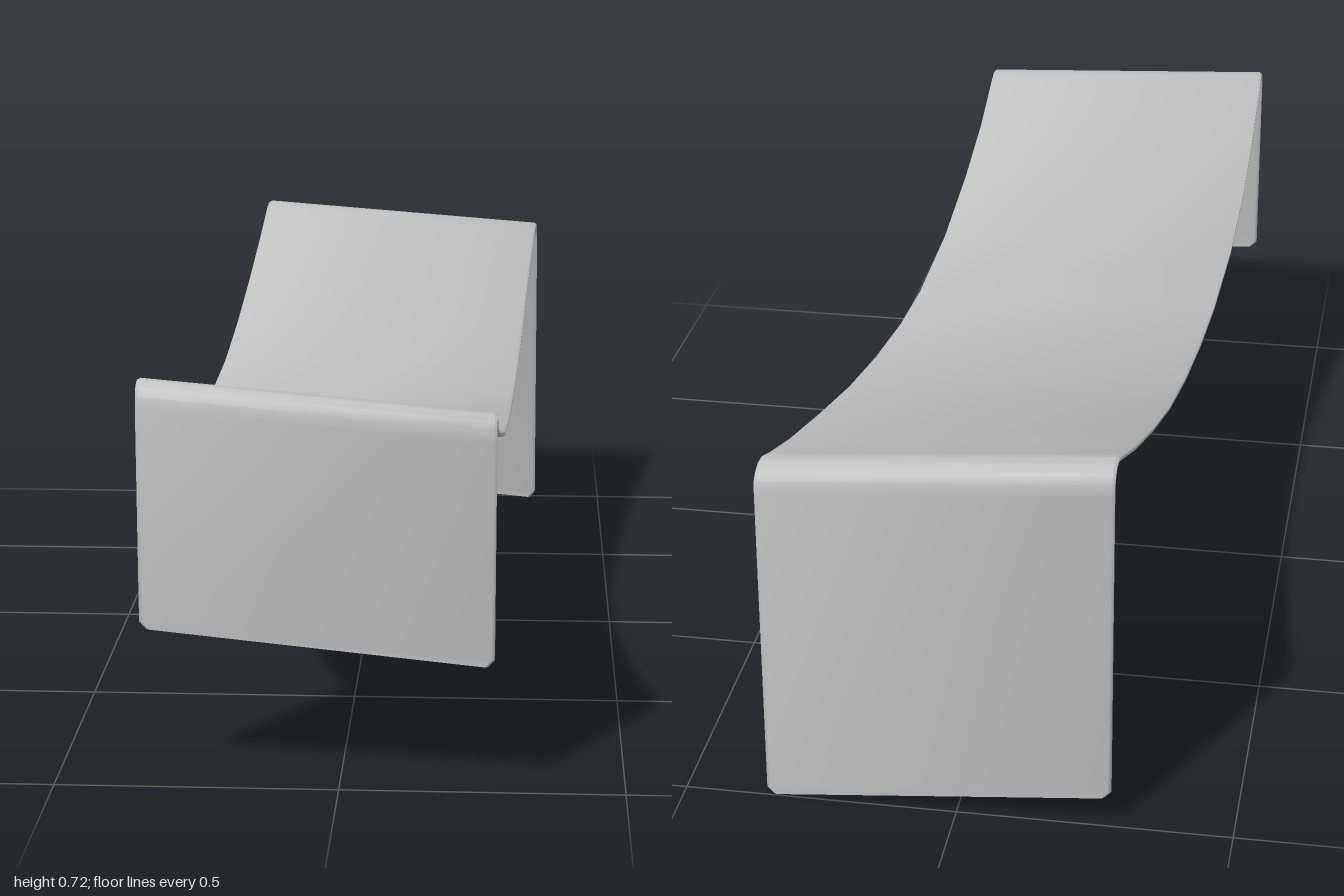
import * as THREE from 'three';
import { toCreasedNormals } from 'three/addons/utils/BufferGeometryUtils.js';

const THICK = 0.012;

// Edge paths of the strip, front hem to back hem: [x, y, z] of the upper face
const leftEdge = [
  [-0.338, 0.275, 0.960], [-0.350, 0.288, 0.960], [-0.350, 0.670, 0.959], [-0.350, 0.690, 0.956],
  [-0.350, 0.705, 0.948], [-0.350, 0.714, 0.933], [-0.350, 0.714, 0.915], [-0.350, 0.704, 0.892],
  [-0.348, 0.627, 0.76], [-0.346, 0.565, 0.60], [-0.339, 0.508, 0.40], [-0.328, 0.479, 0.18],
  [-0.320, 0.482, 0.0], [-0.312, 0.504, -0.20], [-0.305, 0.544, -0.40], [-0.297, 0.600, -0.60],
  [-0.289, 0.662, -0.79], [-0.283, 0.712, -0.92], [-0.281, 0.720, -0.945], [-0.280, 0.718, -0.968],
  [-0.280, 0.708, -0.985], [-0.280, 0.692, -0.995], [-0.280, 0.670, -0.998],
  [-0.280, 0.070, -0.998], [-0.268, 0.057, -0.998],
];
const rightEdge = [
  [0.258, 0.228, 1.0], [0.270, 0.241, 1.0], [0.270, 0.625, 0.999], [0.270, 0.645, 0.996],
  [0.270, 0.660, 0.988], [0.270, 0.669, 0.973], [0.270, 0.670, 0.955], [0.270, 0.663, 0.932],
  [0.271, 0.605, 0.79], [0.274, 0.553, 0.61], [0.281, 0.502, 0.40], [0.289, 0.479, 0.16],
  [0.296, 0.482, 0.0], [0.305, 0.503, -0.20], [0.314, 0.536, -0.40], [0.323, 0.581, -0.60],
  [0.333, 0.626, -0.79], [0.341, 0.663, -0.92], [0.344, 0.671, -0.945], [0.345, 0.670, -0.968],
  [0.346, 0.660, -0.985], [0.347, 0.645, -0.995], [0.347, 0.623, -0.998],
  [0.350, 0.014, -0.998], [0.338, 0.0, -0.998],
];

// Thin cross-section with softened sides: [across 0..1, depth 0..1]
const section = [
  [0.008, 0], [0.992, 0], [1, 0.3], [1, 0.7],
  [0.992, 1], [0.008, 1], [0, 0.7], [0, 0.3],
];

// Pairs every path point with the same point pushed inwards by the thickness
function offsetPath(edge) {
  const pts = edge.map((p) => new THREE.Vector3(...p));
  return pts.map((p, i) => {
    const a = pts[Math.max(i - 1, 0)], b = pts[Math.min(i + 1, pts.length - 1)];
    const t1 = p.clone().sub(a).setX(0).normalize();
    const t2 = b.clone().sub(p).setX(0).normalize();
    const t = t1.add(t2).normalize();
    const outward = new THREE.Vector3(0, -t.z, t.y);
    return [p, p.clone().addScaledVector(outward, -THICK)];
  });
}

function stripGeometry() {
  const left = offsetPath(leftEdge), right = offsetPath(rightEdge);
  const n = section.length, rows = left.length;
  const positions = [], index = [];
  for (let i = 0; i < rows; i++) {
    for (const [u, d] of section) {
      const l = left[i][0].clone().lerp(left[i][1], d);
      const r = right[i][0].clone().lerp(right[i][1], d);
      positions.push(...l.lerp(r, u).toArray());
    }
  }
  for (let i = 0; i < rows - 1; i++) {
    for (let j = 0; j < n; j++) {
      const a = i * n + j, b = i * n + (j + 1) % n;
      index.push(a, b, b + n, a, b + n, a + n);
    }
  }
  // Hem caps
  const last = (rows - 1) * n;
  for (let j = 1; j < n - 1; j++) {
    index.push(0, j + 1, j, last, last + j, last + j + 1);
  }
  const geometry = new THREE.BufferGeometry();
  geometry.setAttribute('position', new THREE.Float32BufferAttribute(positions, 3));
  geometry.setIndex(index);
  return toCreasedNormals(geometry, 0.7);
}

export function createModel() {
  const group = new THREE.Group();
  group.name = 'drapedCloth';
  const clothGrey = new THREE.MeshStandardMaterial({ color: 0xc0c0c0 });
  clothGrey.name = 'cloth grey';

  // Sagging strip with a flap hanging down at each end
  const strip = new THREE.Mesh(stripGeometry(), clothGrey);
  strip.name = 'clothStrip';
  group.add(strip);
  return group;
}
